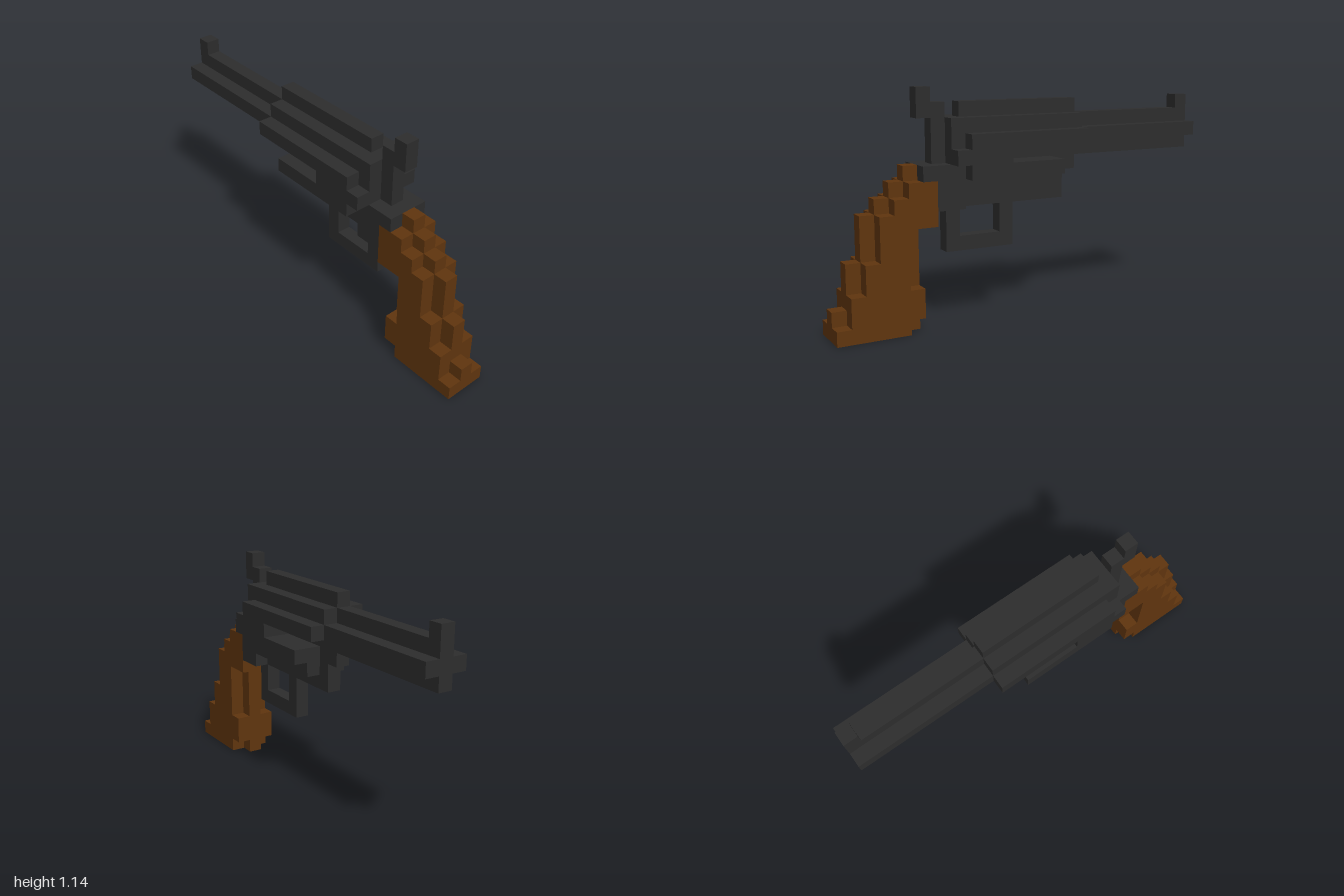
import * as THREE from 'three';

const U = 1 / 14; // edge of one block

export function createModel() {
  const model = new THREE.Group();
  const metal = new THREE.MeshStandardMaterial({ color: 0x2d2d2d });
  metal.name = 'dark metal';
  const wood = new THREE.MeshStandardMaterial({ color: 0x60350e });
  wood.name = 'brown wood';

  // Each box is [x0, x1, y0, y1, width] in blocks, centred on z
  function part(name, material, boxes) {
    const group = new THREE.Group();
    group.name = name;
    for (const [x0, x1, y0, y1, w] of boxes) {
      const geometry = new THREE.BoxGeometry((x1 - x0) * U, (y1 - y0) * U, w * U);
      const mesh = new THREE.Mesh(geometry, material);
      mesh.name = name + 'Block';
      mesh.position.set(((x0 + x1) / 2 - 14) * U, ((y0 + y1) / 2) * U, 0);
      group.add(mesh);
    }
    model.add(group);
  }

  // Cross-shaped barrel with the sight at its tip
  part('barrel', metal, [[0, 10, 11, 14, 1], [0, 10, 12, 13, 3]]);
  part('frontSight', metal, [[0, 1, 14, 15, 1]]);

  // Drum with side ribs and an open groove near the barrel
  part('cylinder', metal, [
    [10, 19, 14, 15, 1],
    [10, 20, 12, 14, 3],
    [10, 19, 12, 13, 5],
    [16, 19, 11, 12, 5],
    [19, 20, 11, 12, 5],
    [12, 19, 10, 11, 5],
  ]);

  // Frame below and behind the drum
  part('frame', metal, [
    [10, 21, 10, 14, 1],
    [11, 21, 8, 10, 1],
    [12, 19, 9, 10, 3],
    [19, 21, 8, 11, 3],
    [21, 22, 10, 11, 3],
  ]);

  part('hammer', metal, [[20, 22, 14, 15, 1], [21, 22, 15, 16, 1]]);

  part('triggerGuard', metal, [
    [15, 16, 5, 8, 1],
    [16, 19, 5, 6, 1],
    [19, 20, 5, 8, 1],
  ]);

  // Stepped grip: a tall narrow core between lower side panels
  const coreTops = [11, 10, 9, 8, 5, 2];
  const sideTops = [10, 9, 8, 5, 3, 1];
  const grip = [[21, 22, 7, 10, 3], [22, 23, 7, 10, 3], [22, 23, 1, 3, 3]];
  coreTops.forEach((top, i) => grip.push([22 + i, 23 + i, 0, top, 1]));
  sideTops.forEach((top, i) => {
    if (i > 0) grip.push([22 + i, 23 + i, 0, top, 3]);
  });
  part('grip', wood, grip);

  return model;
}
